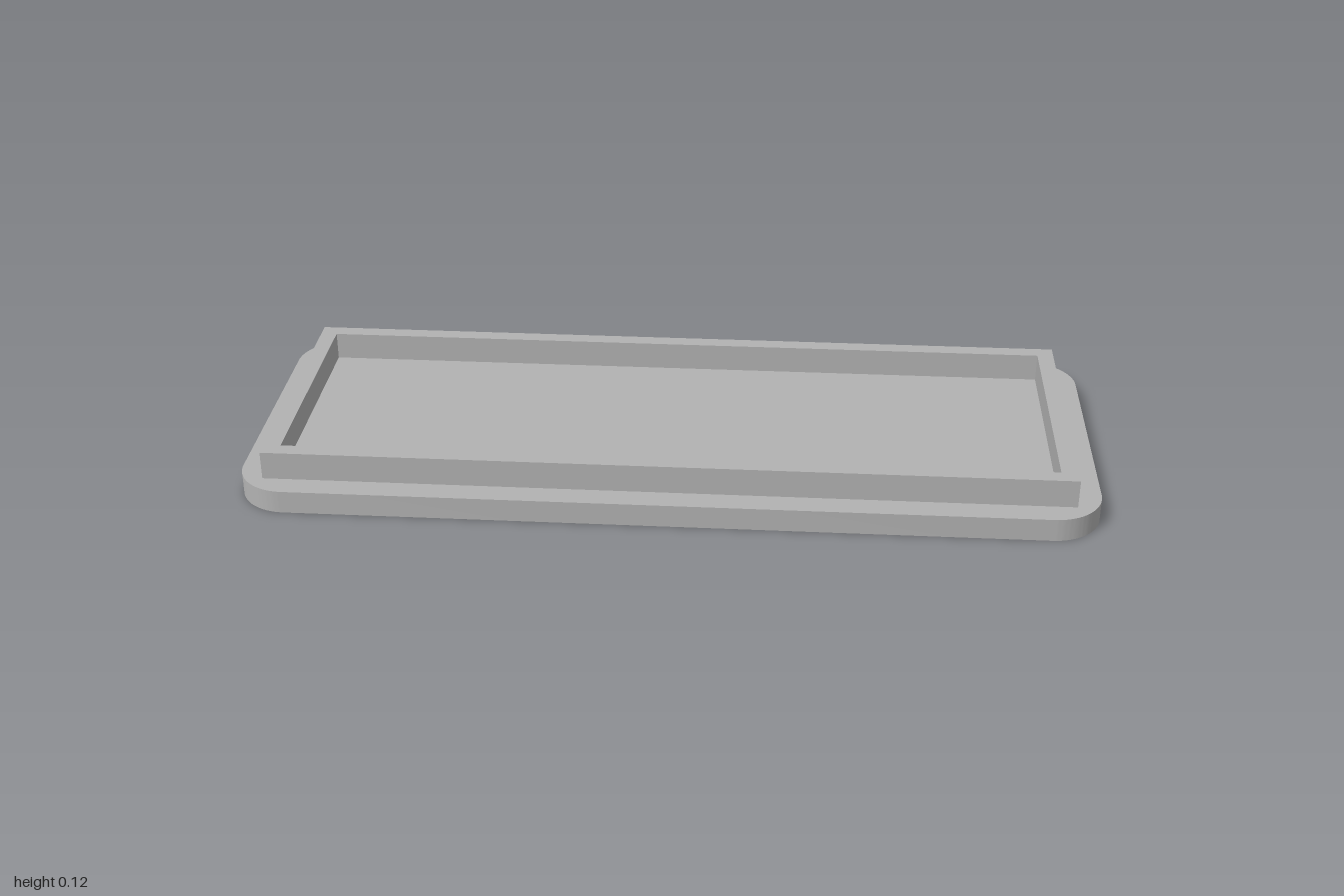
import * as THREE from 'three';
import { toCreasedNormals } from 'three/addons/utils/BufferGeometryUtils.js';

const BASE_HEIGHT = 0.055;
const TOTAL_HEIGHT = 0.123;

// Rectangle outline with half sizes hx, hz and corner radius r
function outline(Target, hx, hz, r = 0) {
  const path = new Target();
  if (r === 0) {
    path.moveTo(-hx, -hz).lineTo(hx, -hz).lineTo(hx, hz).lineTo(-hx, hz).closePath();
    return path;
  }
  path.absarc(hx - r, -hz + r, r, -Math.PI / 2, 0);
  path.absarc(hx - r, hz - r, r, 0, Math.PI / 2);
  path.absarc(-hx + r, hz - r, r, Math.PI / 2, Math.PI);
  path.absarc(-hx + r, -hz + r, r, Math.PI, Math.PI * 1.5);
  path.closePath();
  return path;
}

// Extrude a flat outline upward from y0 to y1
function slab(shape, y0, y1) {
  const geometry = new THREE.ExtrudeGeometry(shape, { depth: y1 - y0, bevelEnabled: false, curveSegments: 16 });
  geometry.rotateX(-Math.PI / 2).translate(0, y0, 0);
  return toCreasedNormals(geometry, Math.PI / 6);
}

export function createModel() {
  const group = new THREE.Group();
  group.name = 'lid';
  const grey = new THREE.MeshStandardMaterial({ color: 0xb2b2b2 });
  grey.name = 'grey';

  // Flat plate with rounded corners
  const plate = new THREE.Mesh(slab(outline(THREE.Shape, 1, 0.392, 0.118), 0, BASE_HEIGHT), grey);
  plate.name = 'basePlate';

  // Square-cornered raised lip, open in the middle
  const lipShape = outline(THREE.Shape, 0.94, 0.333);
  lipShape.holes.push(outline(THREE.Path, 0.9, 0.295));
  const lip = new THREE.Mesh(slab(lipShape, BASE_HEIGHT, TOTAL_HEIGHT), grey);
  lip.name = 'raisedLip';

  group.add(plate, lip);
  return group;
}
